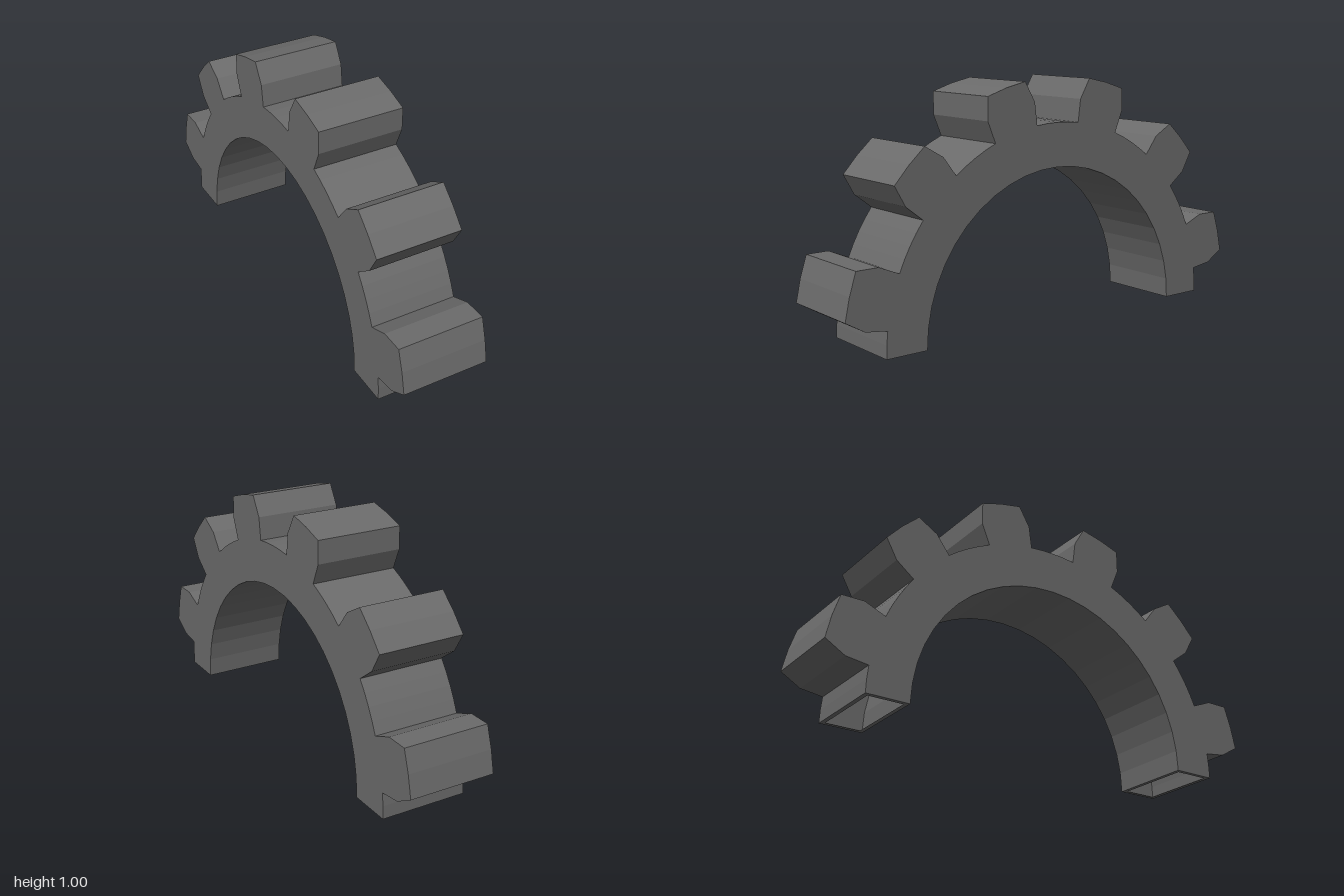
import * as THREE from 'three';

const HALF_WIDTH = 0.185;
const INNER = 0.648, ROOT = 0.83, SHOULDER = 0.926, TIP = 1.015;
const TEETH = 6;
const RIM = 0.018;

const polar = (radius, degrees) => {
  const a = THREE.MathUtils.degToRad(degrees);
  return new THREE.Vector2(radius * Math.cos(a), radius * Math.sin(a));
};

// Half gear outline: toothed outer edge, then the smooth inner arc back
function gearProfile() {
  const points = [polar(ROOT, 0), polar(ROOT, 3.75)];
  for (let i = 0; i < TEETH; i++) {
    const c = 15 + i * 30;
    points.push(
      polar(ROOT, c - 7.5), polar(SHOULDER, c - 7.5), polar(TIP, c - 5.4),
      polar(TIP, c),
      polar(TIP, c + 5.4), polar(SHOULDER, c + 7.5), polar(ROOT, c + 7.5)
    );
    // root land between neighbouring teeth
    if (i < TEETH - 1) for (const d of [11.25, 15, 18.75]) points.push(polar(ROOT, c + d));
  }
  points.push(polar(ROOT, 176.25), polar(ROOT, 180));
  const steps = 24;
  for (let i = 0; i <= steps; i++) points.push(polar(INNER, 180 - (180 * i) / steps));
  return new THREE.Shape(points);
}

// Remove the faces lying on the ground, leaving both feet open
function openFeet(geometry) {
  const p = geometry.getAttribute('position');
  const kept = [];
  for (let i = 0; i < p.count; i += 3) {
    const onGround = [0, 1, 2].every((k) => Math.abs(p.getY(i + k)) < 1e-4);
    if (onGround) continue;
    for (let k = 0; k < 3; k++) kept.push(p.getX(i + k), p.getY(i + k), p.getZ(i + k));
  }
  const open = new THREE.BufferGeometry();
  open.setAttribute('position', new THREE.Float32BufferAttribute(kept, 3));
  open.computeVertexNormals();
  return open;
}

const rectangle = (Type, halfX, y0, y1) => new Type([
  new THREE.Vector2(-halfX, y0), new THREE.Vector2(halfX, y0),
  new THREE.Vector2(halfX, y1), new THREE.Vector2(-halfX, y1),
]);

export function createModel() {
  const group = new THREE.Group();
  group.name = 'halfGear';
  const material = new THREE.MeshStandardMaterial({
    color: 0x6b6b6b, flatShading: true, side: THREE.DoubleSide,
  });

  // Hollow half ring with six teeth, its axis along x
  const solid = new THREE.ExtrudeGeometry(gearProfile(), {
    depth: HALF_WIDTH * 2, bevelEnabled: false, steps: 1,
  });
  solid.translate(0, 0, -HALF_WIDTH);
  solid.rotateY(-Math.PI / 2);
  const ring = new THREE.Mesh(openFeet(solid), material);
  ring.name = 'toothedHalfRing';
  group.add(ring);

  // Narrow rim around the opening under each foot
  const rimShape = rectangle(THREE.Shape, HALF_WIDTH, INNER, ROOT);
  rimShape.holes.push(rectangle(THREE.Path, HALF_WIDTH - RIM, INNER + RIM, ROOT - RIM));
  const rimGeometry = new THREE.ShapeGeometry(rimShape).rotateX(Math.PI / 2);
  for (const [name, turn] of [['frontFootRim', 0], ['backFootRim', Math.PI]]) {
    const rim = new THREE.Mesh(rimGeometry, material);
    rim.name = name;
    rim.rotation.y = turn;
    group.add(rim);
  }
  return group;
}
